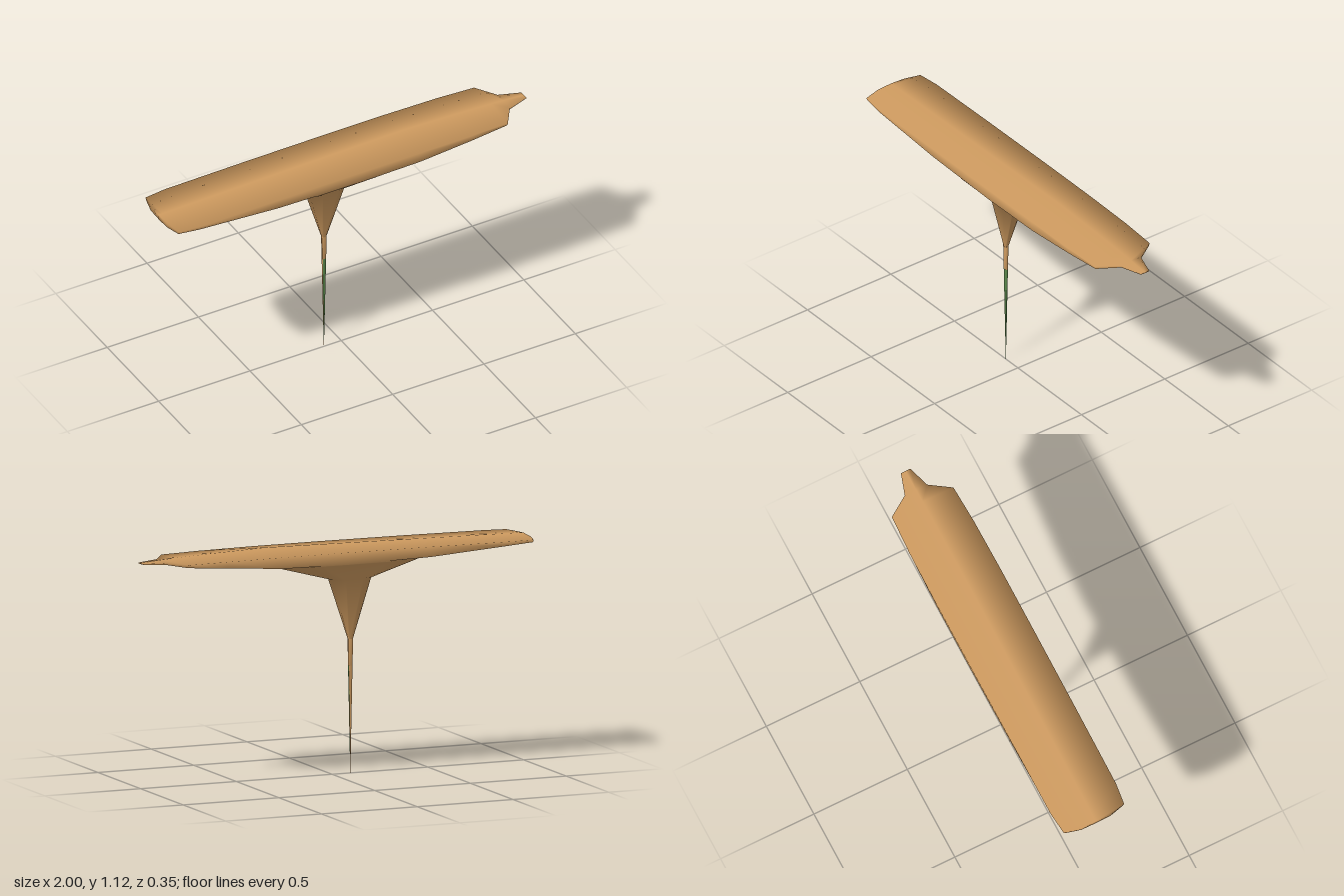
import * as THREE from 'three';

const wood = new THREE.MeshStandardMaterial({ color: 0xd09c60 });
wood.name = 'wood';
const green = new THREE.MeshStandardMaterial({ color: 0x5d8a4c });
green.name = 'green';

// Skins closed rings of [x, y, z] points and caps both ends, with smooth normals
function loft(name, rings, material, ringNormals) {
  const n = rings[0].length;
  const index = [];
  for (let i = 0; i < rings.length - 1; i++) {
    for (let j = 0; j < n; j++) {
      const k = (j + 1) % n;
      const a = i * n + j, b = i * n + k, c = a + n, d = b + n;
      index.push(a, b, d, a, d, c);
    }
  }
  const last = (rings.length - 1) * n;
  for (let j = 1; j < n - 1; j++) {
    index.push(0, j + 1, j, last, last + j, last + j + 1);
  }
  const geometry = new THREE.BufferGeometry();
  geometry.setAttribute('position', new THREE.Float32BufferAttribute(rings.flat(2), 3));
  geometry.setIndex(index);
  if (ringNormals) {
    const normals = rings.flatMap(() => ringNormals.flat());
    geometry.setAttribute('normal', new THREE.Float32BufferAttribute(normals, 3));
    geometry.normalizeNormals();
  } else {
    geometry.computeVertexNormals();
  }
  const mesh = new THREE.Mesh(geometry, material);
  mesh.name = name;
  return mesh;
}

// Six-sided slab section across z
const slabRing = ([x, w, top, edgeTop, edgeBottom, bottom]) => [
  [x, top, 0], [x, edgeTop, w], [x, edgeBottom, w * 0.97],
  [x, bottom, 0], [x, edgeBottom, -w * 0.97], [x, edgeTop, -w],
];

// Rounded shading that rolls from the ridge over the long edges to the underside
const slabNormals = [[0, 1, 0], [0, 0.45, 1], [0, -0.3, 1], [0, -1, 0], [0, -0.3, -1], [0, 0.45, -1]];

// Horizontal stem section: an oblong with cut corners
const stemRing = ([y, x0, x1, w]) => {
  const cx = (x0 + x1) / 2, h = (x1 - x0) / 2;
  const corners = [[1, 0.45], [0.5, 1], [-0.5, 1], [-1, 0.45], [-1, -0.45], [-0.5, -1], [0.5, -1], [1, -0.45]];
  return corners.map(([z, x]) => [cx + x * h, y, z * w]);
};

// Four-sided spike section around the stem axis
const spikeRing = (y) => {
  const r = 0.0004 + 0.0116 * y / 0.68;
  return [[1, 1], [-1, 1], [-1, -1], [1, -1]].map(([z, x]) => [-0.095 + x * r, y, z * r * 0.6]);
};

export function createModel() {
  const group = new THREE.Group();

  // Long slab: x, half width, top ridge, upper edge, lower edge, underside
  group.add(loft('slab', [
    [-1.0, 0.08, 1.1, 1.095, 1.078, 1.075],
    [-0.98, 0.162, 1.101, 1.093, 1.08, 1.074],
    [-0.87, 0.174, 1.103, 1.094, 1.075, 1.065],
    [-0.44, 0.176, 1.11, 1.098, 1.048, 1.03],
    [0.0, 0.177, 1.117, 1.1, 1.04, 1.03],
    [0.34, 0.177, 1.122, 1.1, 1.045, 1.04],
    [0.62, 0.174, 1.113, 1.098, 1.066, 1.06],
    [0.82, 0.165, 1.104, 1.095, 1.08, 1.075],
    [0.89, 0.06, 1.1, 1.094, 1.084, 1.08],
    [1.0, 0.025, 1.092, 1.091, 1.088, 1.087],
  ].map(slabRing), wood, slabNormals));

  // Flared stem under the slab: y, x range, half depth
  group.add(loft('stem', [
    [0.65, -0.107, -0.083, 0.008],
    [0.945, -0.19, 0.008, 0.062],
    [1.038, -0.44, 0.34, 0.168],
    [1.06, -0.42, 0.32, 0.16],
  ].map(stemRing), wood));

  // Needle spike: plain at the top, green on its front and left faces below
  group.add(loft('spikeTop', [0.52, 0.68].map(spikeRing), wood));
  const spike = loft('spikeTip', [0, 0.52].map(spikeRing), [wood, green]);
  spike.geometry.addGroup(0, 6, 1);
  spike.geometry.addGroup(6, 12, 0);
  spike.geometry.addGroup(18, 6, 1);
  spike.geometry.addGroup(24, 12, 0);
  group.add(spike);

  return group;
}
